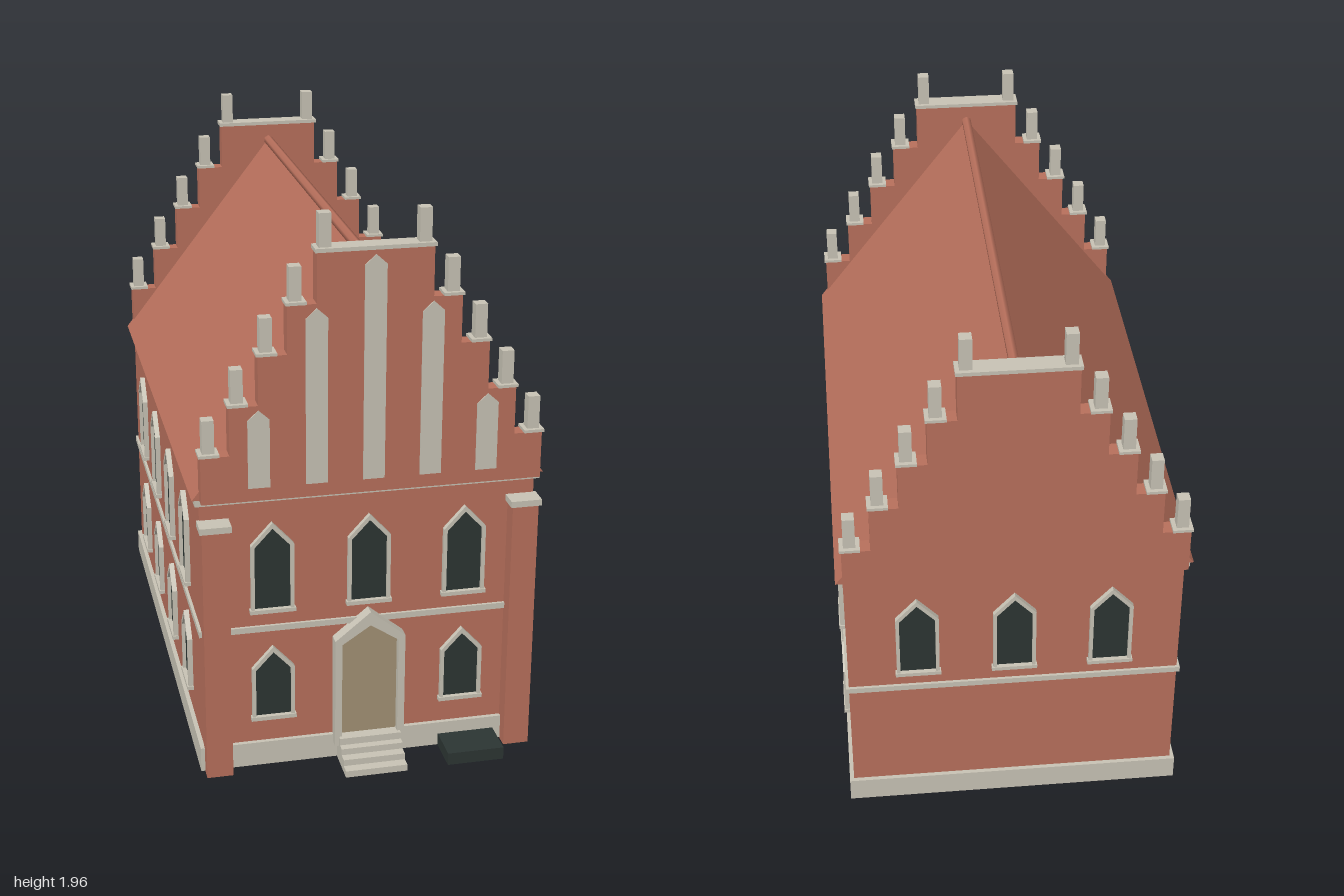
import * as THREE from 'three';

const mat = (name, color) => {
  const m = new THREE.MeshStandardMaterial({ color });
  m.name = name;
  return m;
};

export function createModel() {
  const brick = mat('brick', 0xb8705c);
  const stone = mat('stone', 0xc8c3b5);
  const glass = mat('dark glass', 0x2c3533);
  const wood = mat('door wood', 0xa39174);
  const house = new THREE.Group();
  house.name = 'steppedGableHouse';

  const add = (name, geometry, material, parent = house) => {
    const mesh = new THREE.Mesh(geometry, material);
    mesh.name = name;
    parent.add(mesh);
    return mesh;
  };
  // Box given by its limits on each axis
  const box = (name, material, x0, x1, y0, y1, z0, z1, parent = house) => {
    const mesh = add(name, new THREE.BoxGeometry(x1 - x0, y1 - y0, z1 - z0), material, parent);
    mesh.position.set((x0 + x1) / 2, (y0 + y1) / 2, (z0 + z1) / 2);
    return mesh;
  };
  const extrude = (shape, depth) => new THREE.ExtrudeGeometry(shape, { depth, bevelEnabled: false });
  // Upright panel with a pointed top
  const pointed = (halfWidth, bottom, spring, apex) => new THREE.Shape([
    [-halfWidth, bottom], [halfWidth, bottom], [halfWidth, spring], [0, apex], [-halfWidth, spring],
  ].map(([x, y]) => new THREE.Vector2(x, y)));

  // Main block, plinth and mouldings
  const W = 0.57, FRONT = 0.845, BACK = -0.93;
  box('walls', brick, -W, W, 0, 1.01, BACK, FRONT);
  const band = (name, y0, y1, out) =>
    box(name, stone, -W - out, W + out, y0, y1, BACK - out, FRONT + out);
  band('plinth', 0.002, 0.09, 0.015);
  band('stringCourse', 0.512, 0.533, 0.01);
  band('cornice', 0.992, 1.017, 0.015);

  // Roof prism and ridge tile
  const roofShape = new THREE.Shape([
    new THREE.Vector2(-0.595, 1.017), new THREE.Vector2(0.595, 1.017), new THREE.Vector2(0, 1.78),
  ]);
  add('roof', extrude(roofShape, 1.82), brick).position.z = -0.955;
  const ridge = add('ridgeTile', new THREE.CylinderGeometry(0.018, 0.018, 1.78, 6), brick);
  ridge.rotation.x = Math.PI / 2;
  ridge.position.set(0, 1.777, -0.0425);

  // Stepped gables with coping stones and pinnacles
  const steps = [[0.57, 1.18], [0.475, 1.345], [0.38, 1.51], [0.285, 1.672], [0.19, 1.838]];
  const gable = (name, z) => {
    const group = new THREE.Group();
    group.name = name;
    group.position.z = z;
    house.add(group);
    const right = [];
    let y = 1.017;
    for (const [x, top] of steps) {
      right.push(new THREE.Vector2(x, y), new THREE.Vector2(x, top));
      y = top;
    }
    const left = right.map((p) => new THREE.Vector2(-p.x, p.y)).reverse();
    add('gableWall', extrude(new THREE.Shape([...right, ...left]), 0.056), brick, group).position.z = -0.028;
    steps.forEach(([x, top], i) => {
      const last = i === steps.length - 1;
      if (last) box('topCoping', stone, -x - 0.006, x + 0.006, top, top + 0.013, -0.034, 0.034, group);
      for (const s of [-1, 1]) {
        const cx = s * (x - 0.028);
        if (!last) box('coping', stone, cx - 0.034, cx + 0.034, top, top + 0.01, -0.034, 0.034, group);
        box('pinnacle', stone, cx - 0.02, cx + 0.02, top + 0.008, top + 0.123, -0.02, 0.02, group);
      }
    });
  };
  gable('frontGable', 0.877);
  gable('backGable', -0.963);

  // Tall blind niches on the front gable
  for (const [x, spring, apex] of [[0, 1.79, 1.823], [0.19, 1.625, 1.658], [0.38, 1.297, 1.33]]) {
    for (const s of x ? [-1, 1] : [1]) {
      add('blindNiche', extrude(pointed(0.036, 1.063, spring, apex), 0.004), stone).position.set(s * x, 0, 0.905);
    }
  }

  // Corner buttresses with caps
  for (const s of [-1, 1]) {
    const pier = box('buttress', brick, -0.045, 0.045, 0, 0.92, 0.84, 0.905);
    pier.position.x = s * 0.526;
    const cap = box('buttressCap', stone, -0.053, 0.053, 0.915, 0.937, 0.84, 0.914);
    cap.position.x = s * 0.526;
  }

  // Windows: pointed frame, recessed pane and sill
  const window_ = (x, z, turn, bottom, height) => {
    const group = new THREE.Group();
    group.name = 'window';
    const frame = pointed(0.073, 0, height - 0.08, height);
    frame.holes.push(pointed(0.061, 0.012, height - 0.086, height - 0.02));
    add('windowFrame', extrude(frame, 0.018), stone, group);
    add('windowPane', extrude(pointed(0.064, 0.006, height - 0.084, height - 0.014), 0.006), glass, group);
    box('windowSill', stone, -0.078, 0.078, 0, 0.014, 0, 0.022, group);
    group.position.set(x, bottom, z);
    group.rotation.y = turn;
    house.add(group);
  };
  const UPPER = [0.585, 0.328], LOWER = [0.178, 0.277];
  for (const x of [-0.33, 0, 0.33]) {
    window_(x, FRONT, 0, ...UPPER);
    window_(x, BACK, Math.PI, ...UPPER);
    if (x) window_(x, FRONT, 0, ...LOWER);
  }
  for (const s of [-1, 1]) {
    for (const z of [0.532, 0.152, -0.23, -0.61]) {
      for (const row of [UPPER, LOWER]) window_(s * W, z, s * Math.PI / 2, ...row);
    }
  }

  // Doorway with a pointed stone surround
  const surround = pointed(0.122, 0.06, 0.465, 0.565);
  surround.holes.push(pointed(0.098, 0.08, 0.45, 0.515));
  add('doorSurround', extrude(surround, 0.045), stone).position.z = FRONT;
  add('door', extrude(pointed(0.1, 0.08, 0.452, 0.518), 0.02), wood).position.z = FRONT;

  // Entrance steps
  [[0.024, 1.0], [0.047, 0.965], [0.07, 0.932], [0.095, 0.905]].forEach(([top, front]) =>
    box('entranceStep', stone, -0.108, 0.108, 0, top, FRONT, front));

  // Cellar hatch beside the steps
  box('cellarHatch', glass, 0.254, 0.453, 0, 0.045, FRONT, 0.995);

  return house;
}
